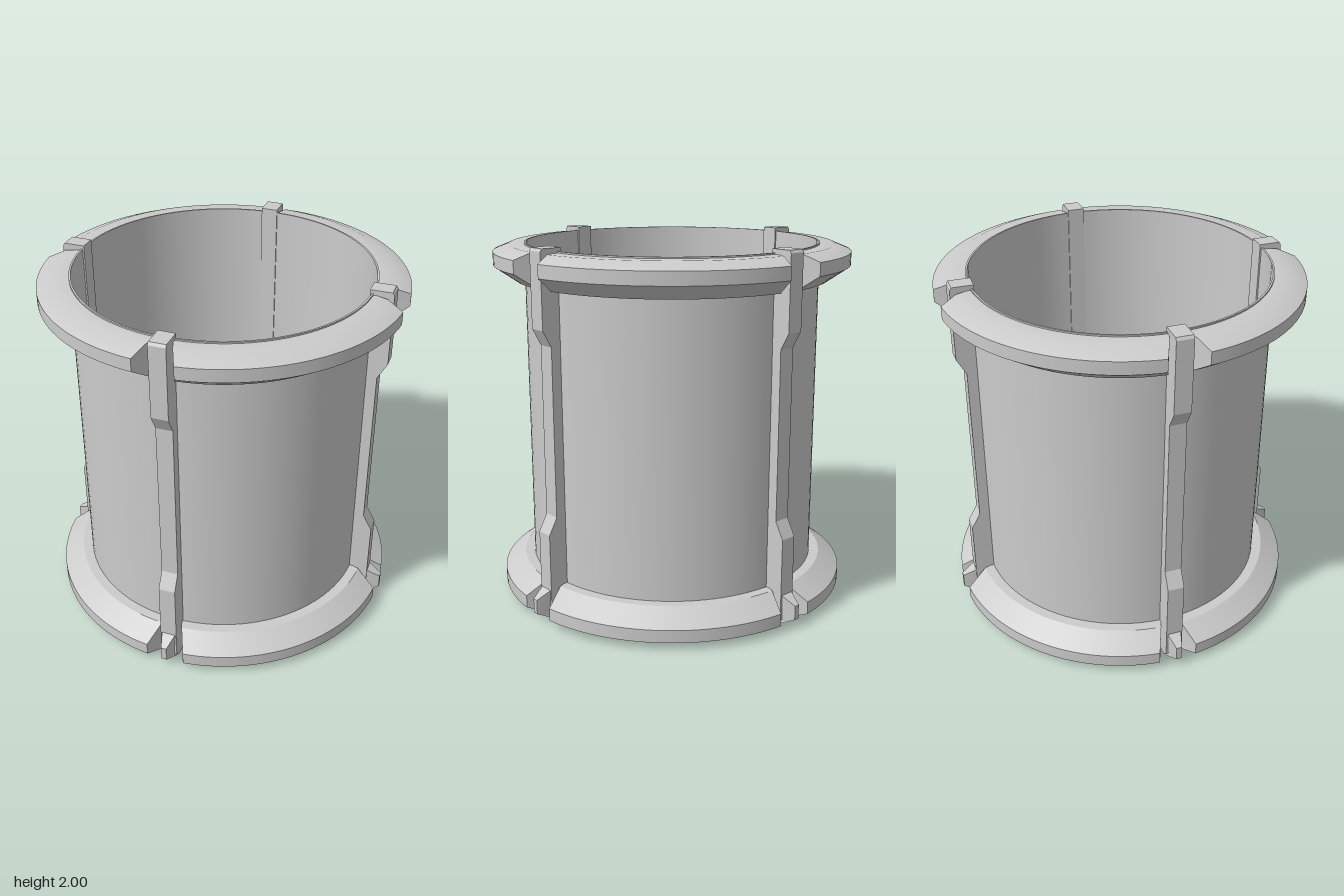
import * as THREE from 'three';
import { toCreasedNormals } from 'three/addons/utils/BufferGeometryUtils.js';

const material = new THREE.MeshStandardMaterial({ color: 0xcccccc });
const points = (list) => list.map(([r, y]) => new THREE.Vector2(r, y));

function addPart(parent, name, geometry) {
  const mesh = new THREE.Mesh(toCreasedNormals(geometry, 0.4), material);
  mesh.name = name;
  parent.add(mesh);
  return mesh;
}

// Extrudes a (radius, height) profile over t = -1..1, then moves each vertex by place(r, y, t).
function sweep(profile, steps, place) {
  const geometry = new THREE.ExtrudeGeometry(new THREE.Shape(points(profile)), {
    depth: 2, steps, bevelEnabled: false,
  });
  const p = geometry.attributes.position;
  for (let i = 0; i < p.count; i++) {
    p.setXYZ(i, ...place(p.getX(i), p.getY(i), p.getZ(i) - 1));
  }
  geometry.deleteAttribute('uv');
  geometry.computeVertexNormals();
  return geometry;
}

// Rim segment: its ends draw back from the ribs towards the outside.
function arc(r, y, t) {
  const half = THREE.MathUtils.mapLinear(r, 0.8, 0.98, 42.5, 38.8);
  const a = THREE.MathUtils.degToRad(half) * t;
  return [-r * Math.sin(a), y, r * Math.cos(a)];
}

export function createModel() {
  const model = new THREE.Group();
  model.name = 'flangedSleeve';

  // Thin cylindrical wall
  addPart(model, 'wall', new THREE.LatheGeometry(points([
    [0.8, 0], [0.81, 0], [0.81, 1.98], [0.8, 1.98], [0.8, 0],
  ]), 96));

  // The upper rim is the lower one turned upside down
  const lowerProfile = [
    [0.803, 0.003], [0.89, 0.003], [0.98, 0.04], [0.98, 0.11], [0.865, 0.19], [0.803, 0.19],
  ];
  const upperProfile = lowerProfile.map(([r, y]) => [r, 1.975 - y]).reverse();
  const lowerRim = sweep(lowerProfile, 28, arc);
  const upperRim = sweep(upperProfile, 28, arc);

  // Rib: thick at both ends, slimmer along the middle
  const rib = sweep([
    [0.79, 0], [0.88, 0], [0.915, 0.03], [0.915, 0.49], [0.865, 0.58],
    [0.865, 1.5], [0.915, 1.59], [0.915, 1.985], [0.905, 2], [0.79, 2],
  ], 1, (r, y, t) => [r, y, t * 0.046]);

  // Wedge-shaped foot on the outside of each rib
  const foot = sweep([
    [0.88, 0.005], [0.9, 0.005], [0.99, 0.05], [0.99, 0.13], [0.91, 0.175], [0.88, 0.175],
  ], 1, (r, y, t) => [r, y, t * THREE.MathUtils.mapLinear(Math.max(r, 0.91), 0.91, 0.99, 0.04, 0.015)]);

  for (let i = 0; i < 4; i++) {
    const quarter = i * Math.PI / 2;
    addPart(model, 'lowerRim', lowerRim).rotation.y = quarter;
    addPart(model, 'upperRim', upperRim).rotation.y = quarter;

    const post = new THREE.Group();
    post.name = 'ribWithFoot';
    post.rotation.y = quarter + Math.PI / 4;
    addPart(post, 'rib', rib);
    addPart(post, 'foot', foot);
    model.add(post);
  }
  return model;
}
